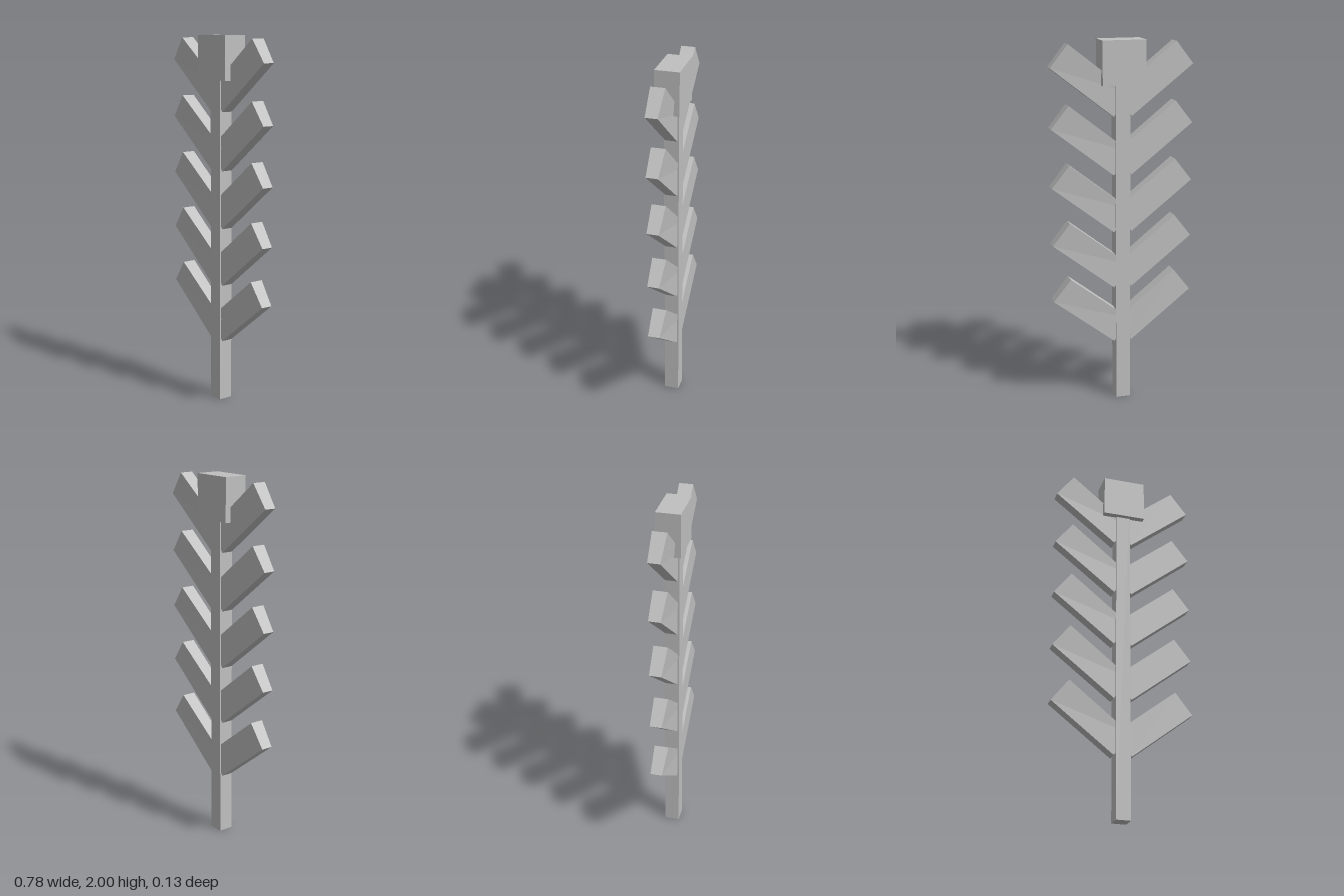
import * as THREE from 'three';

const LEVELS = 5;
const SPACING = 0.315;

export function createModel() {
  const model = new THREE.Group();
  model.name = 'branchedPole';
  const grey = new THREE.MeshStandardMaterial({ color: 0xc0c0c0 });
  grey.name = 'light grey';

  const add = (name, geometry, x, y, z, parent = model) => {
    const mesh = new THREE.Mesh(geometry, grey);
    mesh.name = name;
    mesh.position.set(x, y, z);
    parent.add(mesh);
    return mesh;
  };

  // Square trunk, running up into the top block
  add('trunk', new THREE.BoxGeometry(0.08, 1.9, 0.08), 0, 0.95, 0);

  // Block on top
  add('topBlock', new THREE.BoxGeometry(0.236, 0.233, 0.13), 0, 1.8835, 0);

  // Branch: a box with its upper outer corner pulled out on one side
  const box = new THREE.BoxGeometry(0.431, 0.153, 0.064);
  const p = box.attributes.position;
  for (let i = 0; i < p.count; i++) {
    if (p.getX(i) > 0 && p.getY(i) > 0 && p.getZ(i) < 0) p.setZ(i, -0.043);
  }
  const branch = box.toNonIndexed();
  branch.computeVertexNormals();

  // Opposite pairs of branches, each side a half turn of the other
  for (let i = 0; i < LEVELS; i++) {
    for (const side of [1, -1]) {
      const arm = new THREE.Group();
      arm.name = side > 0 ? 'leftBranch' : 'rightBranch';
      arm.position.set(0, 0.5325 + i * SPACING, -0.001);
      arm.rotation.y = side > 0 ? 0 : Math.PI;
      add('branchBar', branch, 0.1725, 0, 0, arm).rotation.z = 0.662;
      model.add(arm);
    }
  }
  return model;
}
